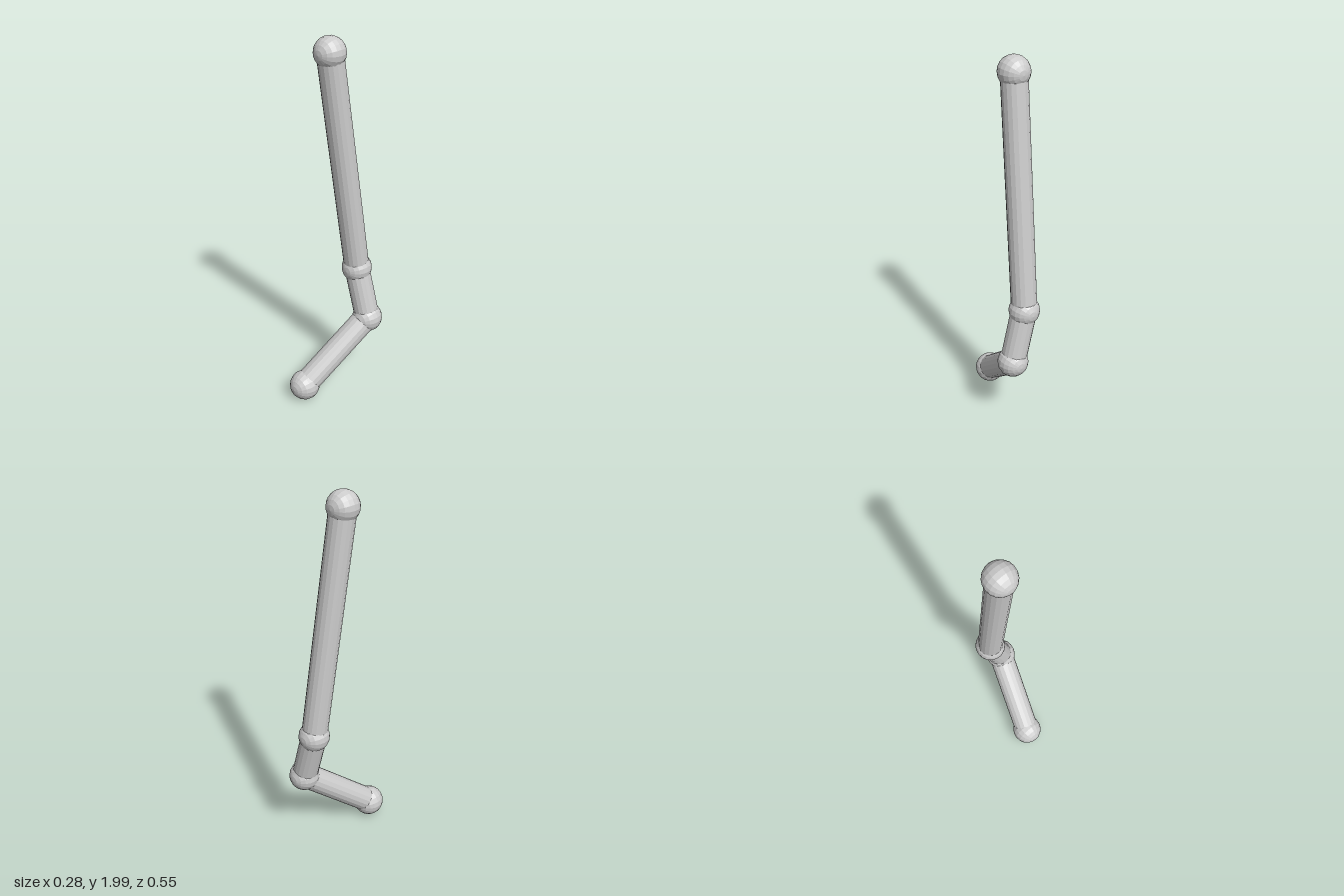
import * as THREE from 'three';

const material = new THREE.MeshStandardMaterial({ color: 0xcccccc, flatShading: true });
const BALL_RADIUS = 0.082;
const ROD_RADIUS = 0.068;
const SIDES = 18;

// Ball joint with its poles along z
function ball(name, position) {
  const geometry = new THREE.SphereGeometry(BALL_RADIUS, SIDES, 10).rotateX(Math.PI / 2);
  const mesh = new THREE.Mesh(geometry, material);
  mesh.name = name;
  mesh.position.copy(position);
  return mesh;
}

// Straight rod running between two joint centres
function rod(name, from, to) {
  const direction = to.clone().sub(from);
  const geometry = new THREE.CylinderGeometry(ROD_RADIUS, ROD_RADIUS, direction.length(), SIDES);
  const mesh = new THREE.Mesh(geometry, material);
  mesh.name = name;
  mesh.position.copy(from).lerp(to, 0.5);
  mesh.quaternion.setFromUnitVectors(new THREE.Vector3(0, 1, 0), direction.normalize());
  return mesh;
}

export function createModel() {
  const group = new THREE.Group();
  group.name = 'jointedLimb';

  // Joint centres from top to bottom
  const joints = [
    ['topJoint', new THREE.Vector3(-0.058, 1.918, -0.021)],
    ['upperJoint', new THREE.Vector3(-0.018, 0.69, -0.184)],
    ['lowerJoint', new THREE.Vector3(0.057, 0.4, -0.192)],
    ['endJoint', new THREE.Vector3(-0.051, 0.085, 0.19)],
  ];
  const rodNames = ['longRod', 'shortRod', 'endRod'];

  joints.forEach(([name, position]) => group.add(ball(name, position)));
  rodNames.forEach((name, i) => group.add(rod(name, joints[i][1], joints[i + 1][1])));
  return group;
}
